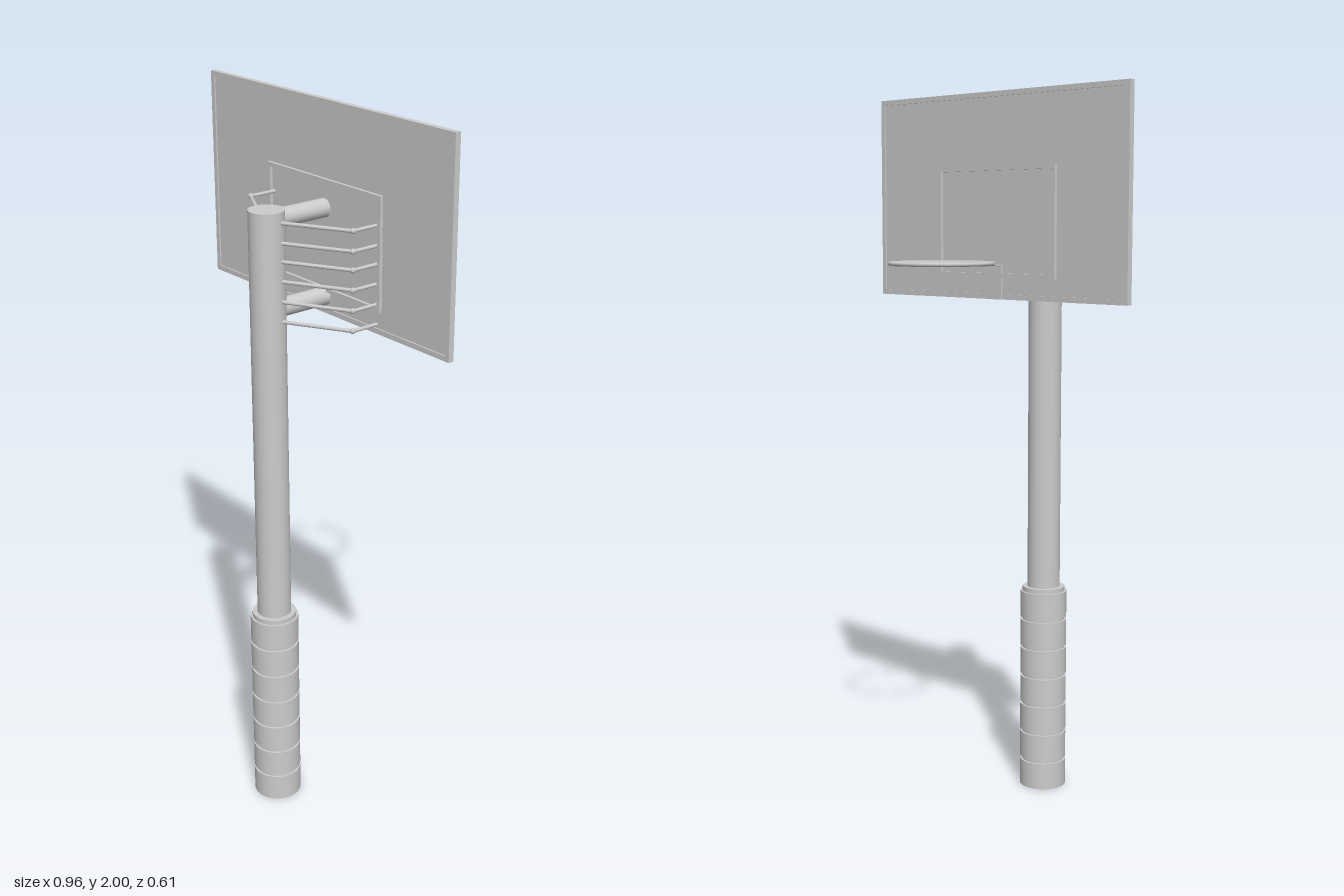
import * as THREE from 'three';

const material = new THREE.MeshStandardMaterial({ color: 0xcccccc });
const POLE_Z = 0.235, BOARD_Z = 0.045;

function add(parent, name, geometry, x = 0, y = 0, z = 0) {
  const mesh = new THREE.Mesh(geometry, material);
  mesh.name = name;
  mesh.position.set(x, y, z);
  parent.add(mesh);
  return mesh;
}

// Round bar between two points
function bar(parent, name, a, b, radius, sides = 10) {
  const from = new THREE.Vector3(...a), to = new THREE.Vector3(...b);
  const dir = to.clone().sub(from);
  const mesh = add(parent, name, new THREE.CylinderGeometry(radius, radius, dir.length(), sides));
  mesh.position.copy(from).add(to).multiplyScalar(0.5);
  mesh.quaternion.setFromUnitVectors(new THREE.Vector3(0, 1, 0), dir.normalize());
}

// Rectangular frame extruded along z, centred on BOARD_Z
function frame(parent, name, halfWidth, bottom, top, thickness, depth) {
  const rect = (T, inset) => {
    const w = halfWidth - inset, lo = bottom + inset, hi = top - inset;
    return new T([[-w, lo], [w, lo], [w, hi], [-w, hi]].map(p => new THREE.Vector2(...p)));
  };
  const shape = rect(THREE.Shape, 0);
  shape.holes.push(rect(THREE.Path, thickness));
  const geometry = new THREE.ExtrudeGeometry(shape, { depth, bevelEnabled: false });
  add(parent, name, geometry, 0, 0, BOARD_Z - depth / 2);
}

export function createModel() {
  const model = new THREE.Group();
  model.name = 'basketballHoop';

  // Pole
  add(model, 'pole', new THREE.CylinderGeometry(0.047, 0.047, 1.75, 40), 0, 0.875, POLE_Z);

  // Padded sleeve: stacked bands on a narrower core, which shows as grooves
  const sleeve = new THREE.Group();
  sleeve.name = 'sleeve';
  model.add(sleeve);
  add(sleeve, 'sleeveCore', new THREE.CylinderGeometry(0.061, 0.061, 0.6, 40), 0, 0.3, POLE_Z);
  const pitch = 0.085, groove = 0.008;
  for (let i = 0; i < 7; i++) {
    const h = pitch - groove;
    add(sleeve, 'sleeveBand', new THREE.CylinderGeometry(0.067, 0.067, h, 40), 0, i * pitch + h / 2, POLE_Z);
  }

  // Backboard: panel, rim and target rectangle
  const board = new THREE.Group();
  board.name = 'backboard';
  model.add(board);
  add(board, 'panel', new THREE.BoxGeometry(0.95, 0.55, 0.008), 0, 1.72, BOARD_Z);
  frame(board, 'boardRim', 0.48, 1.44, 2, 0.014, 0.016);
  frame(board, 'targetFrame', 0.228, 1.5, 1.8, 0.011, 0.025);

  // Arms from pole to board
  for (const y of [1.722, 1.485])
    bar(model, 'supportArm', [0, y, POLE_Z - 0.02], [0, y, BOARD_Z + 0.004], 0.025, 24);

  // Bent side braces
  const braces = new THREE.Group();
  braces.name = 'braces';
  model.add(braces);
  for (const y of [1.722, 1.67, 1.622, 1.57, 1.516, 1.463]) {
    for (const side of [-1, 1]) {
      const elbow = [side * 0.209, y, 0.128];
      bar(braces, 'braceRod', [side * 0.035, y, 0.226], elbow, 0.005);
      bar(braces, 'braceStub', elbow, [side * 0.209, y, BOARD_Z + 0.003], 0.005);
      add(braces, 'braceJoint', new THREE.SphereGeometry(0.0075, 12, 8), ...elbow);
    }
  }

  // Hoop and its folded bracket
  const hoop = new THREE.Group();
  hoop.name = 'hoop';
  model.add(hoop);
  add(hoop, 'ring', new THREE.TorusGeometry(0.137, 0.0055, 12, 64), 0, 1.541, -0.162).rotation.x = Math.PI / 2;
  add(hoop, 'bracketBack', new THREE.BoxGeometry(0.054, 0.095, 0.006), 0, 1.4875, 0.035);
  add(hoop, 'bracketPlate', new THREE.BoxGeometry(0.054, 0.005, 0.062), 0, 1.536, 0.008).rotation.x = 0.12;

  return model;
}
